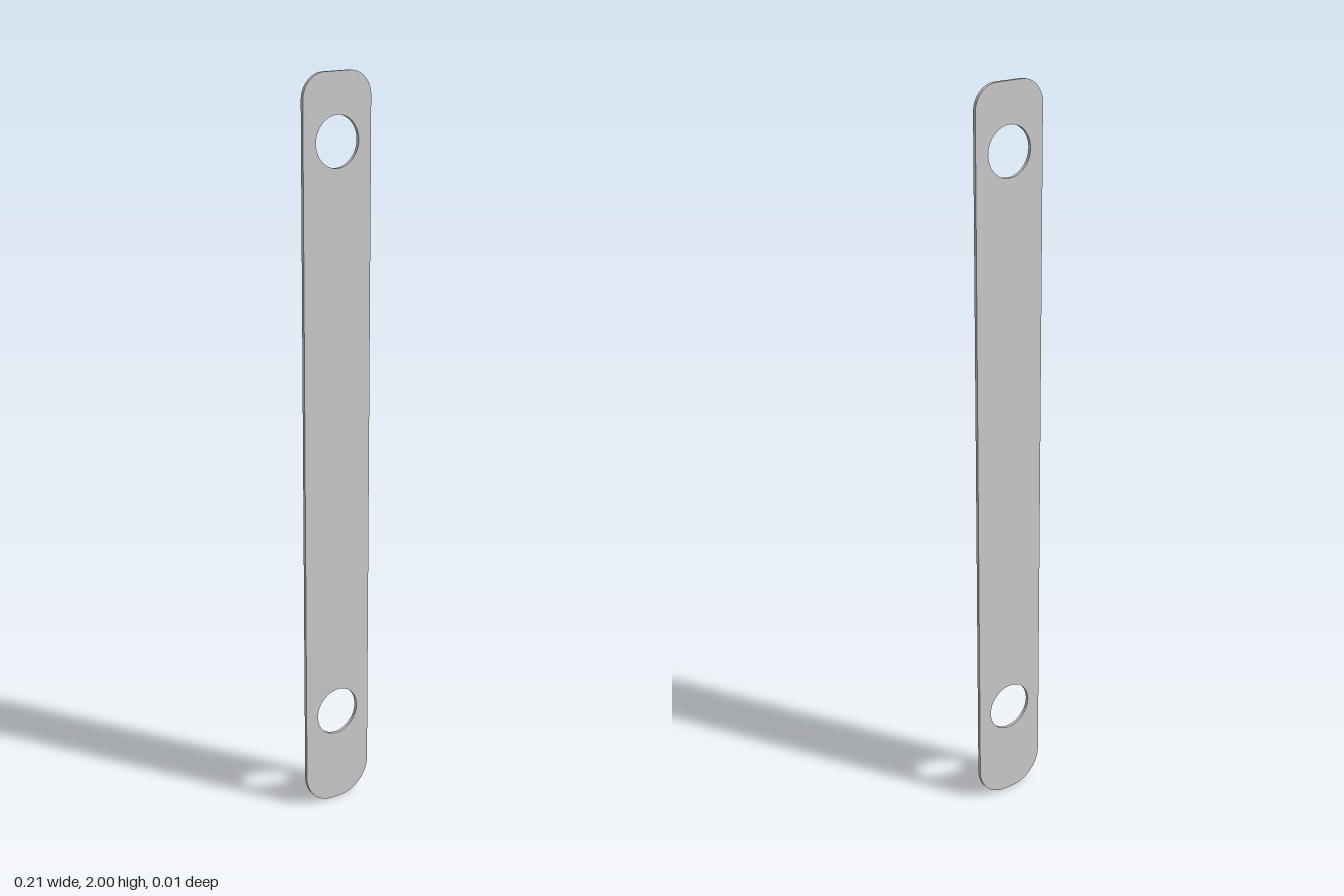
import * as THREE from 'three';

const HALF_WIDTH = 0.104, HEIGHT = 2, THICKNESS = 0.009;
const TOP_RADIUS = 0.065, BOTTOM_RADIUS = 0.09;
const HOLE_RADIUS = 0.066, HOLE_HEIGHTS = [0.265, 1.828];

export function createModel() {
  const group = new THREE.Group();
  group.name = 'strap';

  // Outline: rounded strip, with larger corner radii at the bottom
  const outline = new THREE.Shape();
  const corner = (side, y, r, start) =>
    outline.absarc(side * (HALF_WIDTH - r), y, r, start, start + Math.PI / 2, false);
  corner(1, BOTTOM_RADIUS, BOTTOM_RADIUS, -Math.PI / 2);
  corner(1, HEIGHT - TOP_RADIUS, TOP_RADIUS, 0);
  corner(-1, HEIGHT - TOP_RADIUS, TOP_RADIUS, Math.PI / 2);
  corner(-1, BOTTOM_RADIUS, BOTTOM_RADIUS, Math.PI);
  outline.closePath();

  // Mounting holes
  for (const y of HOLE_HEIGHTS) {
    outline.holes.push(new THREE.Path().absarc(0, y, HOLE_RADIUS, 0, Math.PI * 2, true));
  }

  // Thin flat plate, centred in depth
  const geometry = new THREE.ExtrudeGeometry(outline, {
    depth: THICKNESS, bevelEnabled: false, curveSegments: 24,
  });
  geometry.translate(0, 0, -THICKNESS / 2);
  const plate = new THREE.Mesh(geometry, new THREE.MeshStandardMaterial({ color: 0xcccccc }));
  plate.name = 'plate';
  group.add(plate);
  return group;
}
